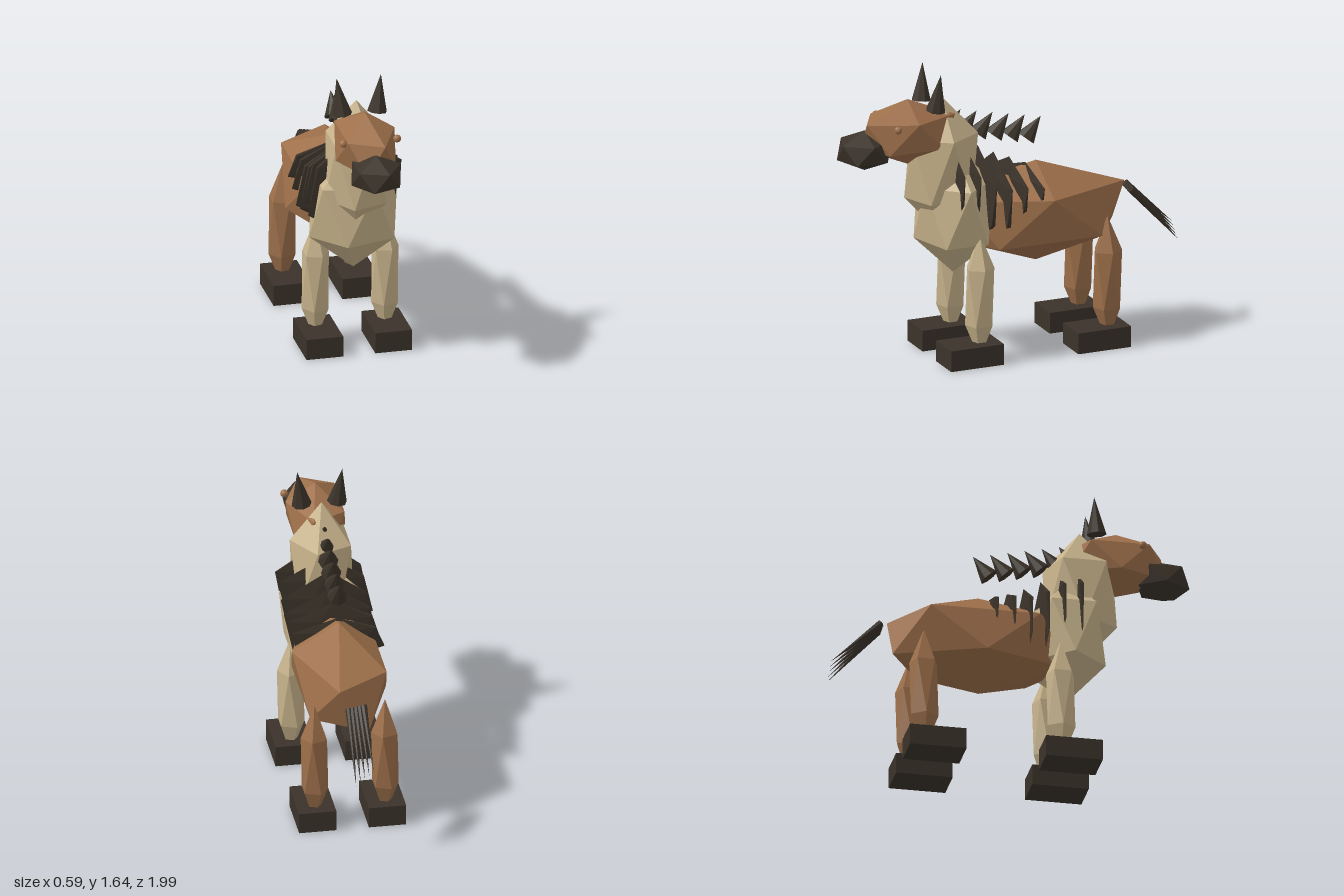
import * as THREE from 'three';

const brown = new THREE.MeshStandardMaterial({ color: 0x9e704b, flatShading: true });
brown.name = 'brown coat';
const tan = new THREE.MeshStandardMaterial({ color: 0xc8b48c, flatShading: true });
tan.name = 'tan coat';
const dark = new THREE.MeshStandardMaterial({ color: 0x3b332a, flatShading: true });
dark.name = 'dark hair';

export function createModel() {
  const model = new THREE.Group();
  model.name = 'horse';

  function add(name, geometry, material, parent = model) {
    const mesh = new THREE.Mesh(geometry, material);
    mesh.name = name;
    parent.add(mesh);
    return mesh;
  }

  // Stretched icosahedron standing on one corner
  function blob(name, material, [x, y, z], [sx, sy, sz], parent, detail = 0) {
    const g = new THREE.IcosahedronGeometry(1, detail);
    g.rotateZ(-Math.atan(2 / (1 + Math.sqrt(5))));
    g.scale(sx, sy, sz).translate(x, y, z);
    return add(name, g, material, parent);
  }

  // Cone from a base centre to a tip
  function spike(name, base, tip, radius, sides, parent) {
    const a = new THREE.Vector3(...base);
    const axis = new THREE.Vector3(...tip).sub(a);
    const height = axis.length();
    const g = new THREE.ConeGeometry(radius, height, sides);
    g.translate(0, height / 2, 0);
    const mesh = add(name, g, dark, parent);
    mesh.quaternion.setFromUnitVectors(new THREE.Vector3(0, 1, 0), axis.normalize());
    mesh.position.copy(a);
    return mesh;
  }

  function group(name) {
    const g = new THREE.Group();
    g.name = name;
    model.add(g);
    return g;
  }

  // Trunk, neck and head
  blob('body', brown, [0, 0.755, -0.16], [0.29, 0.285, 0.576]);
  blob('chest', tan, [0, 0.827, 0.33], [0.276, 0.362, 0.235]);
  blob('neck', tan, [0, 1.086, 0.4], [0.196, 0.394, 0.23]);
  blob('head', brown, [0, 1.305, 0.6], [0.184, 0.185, 0.306]);
  blob('muzzle', dark, [0, 1.232, 0.855], [0.155, 0.113, 0.17]);

  // Mirrored eyes, ears, legs and hooves
  for (const s of [1, -1]) {
    const side = s > 0 ? 'left' : 'right';
    blob(side + 'Eye', brown, [s * 0.15, 1.372, 0.72], [0.022, 0.022, 0.022], model, 1);
    spike(side + 'Ear', [s * 0.097, 1.437, 0.475], [s * 0.124, 1.645, 0.456], 0.055, 8);
    for (const [end, legZ, hoofZ, coat] of [['Front', 0.257, 0.313, tan], ['Rear', -0.5, -0.44, brown]]) {
      blob(side + end + 'Leg', coat, [s * 0.194, 0.375, legZ], [0.085, 0.36, 0.09]);
      const hoof = new THREE.BoxGeometry(0.205, 0.118, 0.313);
      hoof.translate(s * 0.192, 0.059, hoofZ);
      add(side + end + 'Hoof', hoof, dark);
    }
  }

  // Row of mane spikes
  const mane = group('mane');
  for (let i = 0; i < 6; i++) {
    const z = 0.285 - i * 0.095, y = 1.39 - i * 0.0205;
    spike('maneSpike', [0, y - 0.115, z + 0.09], [0, y, z], 0.056, 8, mane);
  }

  // Thin stripe plates over the shoulders: z, top, height of the widest right corner
  const stripes = group('stripes');
  const plates = [
    [0.37, 1.26, 0.81], [0.275, 1.21, 0.85], [0.183, 1.17, 0.77],
    [0.09, 1.12, 0.75], [-0.003, 1.08, 0.81], [-0.1, 1.035, 0.84],
  ];
  for (const [z, top, low] of plates) {
    const sy = (top - low) / 1.447;
    blob('stripe', dark, [0, top - sy, z], [0.292, sy, 0.022], stripes);
  }

  // Tail of slim strands
  const tail = group('tail');
  for (let i = -2; i <= 2; i++) {
    const x = i * 0.02;
    spike('tailStrand', [x, 0.816 - i * 0.003, -0.707], [x * 1.2, 0.522 - i * 0.02, -0.99], 0.02, 8, tail);
  }

  return model;
}
